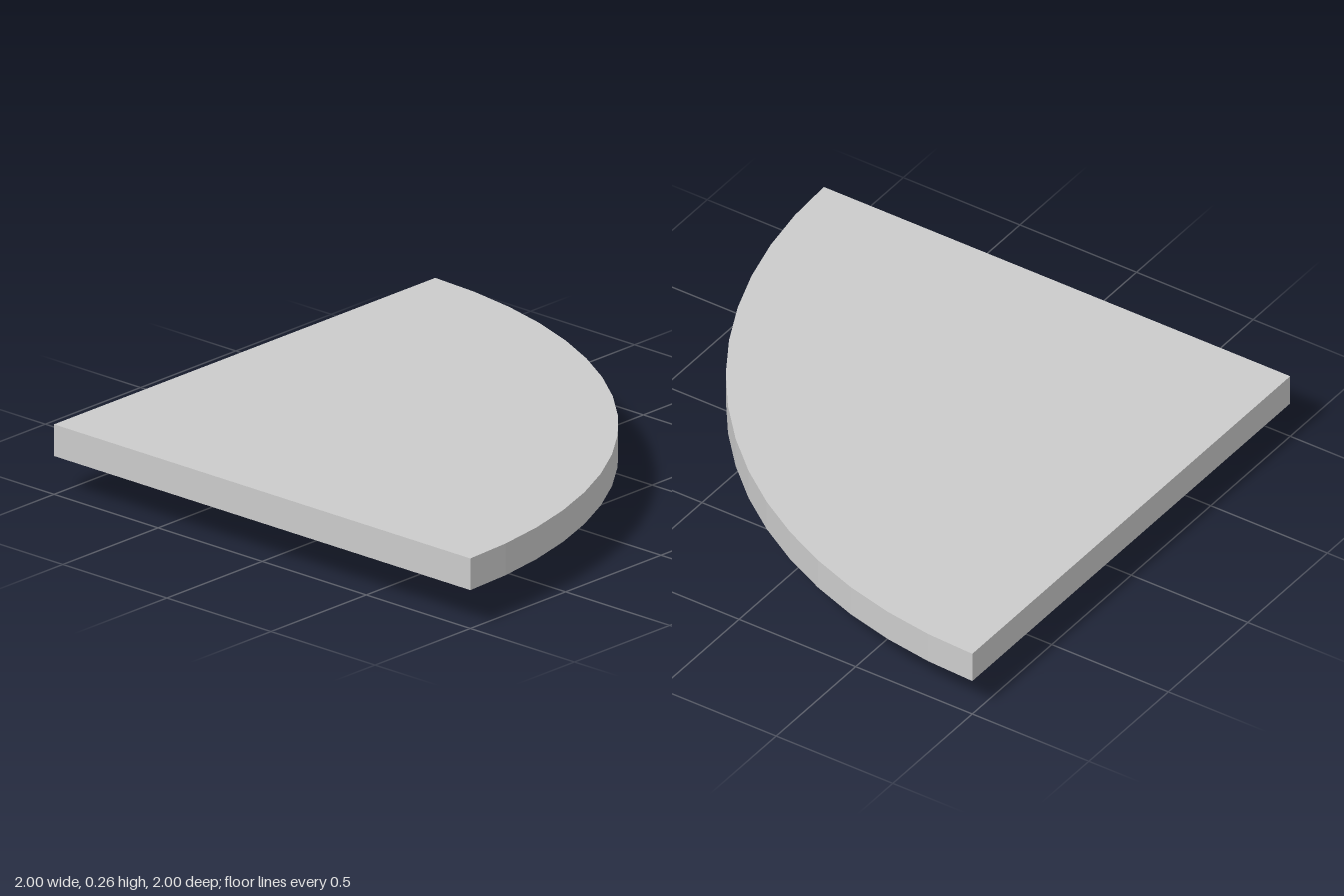
import * as THREE from 'three';
import { toCreasedNormals } from 'three/addons/utils/BufferGeometryUtils.js';

const material = new THREE.MeshStandardMaterial({ color: 0xcccccc });

// Small bulged triangle (x, -z); the foot's outlines are rounded offsets of it.
const core = [[-0.18, -0.18], [0.13, -0.18], [0, 0], [-0.18, 0.13]]
  .map(([x, y]) => new THREE.Vector2(x, y));

function offsetOutline(d, steps = 8) {
  const points = [];
  const count = core.length;
  core.forEach((p, i) => {
    const before = p.clone().sub(core[(i + count - 1) % count]).angle() - Math.PI / 2;
    let after = core[(i + 1) % count].clone().sub(p).angle() - Math.PI / 2;
    if (after < before) after += Math.PI * 2;
    for (let k = 0; k <= steps; k++) {
      const a = before + (after - before) * k / steps;
      points.push([p.x + d * Math.cos(a), p.y + d * Math.sin(a)]);
    }
  });
  return points;
}

// Quarter-disc slab
function createSlab() {
  const segments = 16, radius = 2;
  const shape = new THREE.Shape();
  shape.moveTo(-1, -1);
  for (let i = 0; i <= segments; i++) {
    const a = i / segments * Math.PI / 2;
    shape.lineTo(-1 + radius * Math.cos(a), -1 + radius * Math.sin(a));
  }
  shape.closePath();
  const geometry = new THREE.ExtrudeGeometry(shape, { depth: 0.12, bevelEnabled: false });
  geometry.rotateX(-Math.PI / 2).translate(0, 0.145, 0);
  const slab = new THREE.Mesh(geometry, material);
  slab.name = 'slab';
  return slab;
}

// Flared foot with a recessed underside
function createFoot() {
  // [offset, height]: down the flare, across the rim, up into the recess
  const profile = [
    [0.365, 0.145], [0.305, 0.12], [0.26, 0.09], [0.225, 0.05], [0.19, 0],
    [0.163, 0], [0.155, 0.06],
  ];
  const positions = [], indices = [];
  let n = 0;
  for (const [d, y] of profile) {
    const outline = offsetOutline(d);
    n = outline.length;
    for (const [x, v] of outline) positions.push(x, y, -v);
  }
  const last = profile.length - 1;
  const centre = profile.length * n;
  positions.push(-0.06, profile[last][1], 0.06);
  for (let i = 0; i <= last; i++) {
    for (let j = 0; j < n; j++) {
      const a = i * n + j, b = i * n + (j + 1) % n;
      if (i < last) indices.push(a, a + n, b, b, a + n, b + n);
      else indices.push(a, centre, b);
    }
  }
  const geometry = new THREE.BufferGeometry();
  geometry.setAttribute('position', new THREE.Float32BufferAttribute(positions, 3));
  geometry.setIndex(indices);
  const foot = new THREE.Mesh(toCreasedNormals(geometry, 0.6), material);
  foot.name = 'foot';
  return foot;
}

export function createModel() {
  const group = new THREE.Group();
  group.name = 'quarterRoundPlatform';
  group.add(createSlab(), createFoot());
  return group;
}
